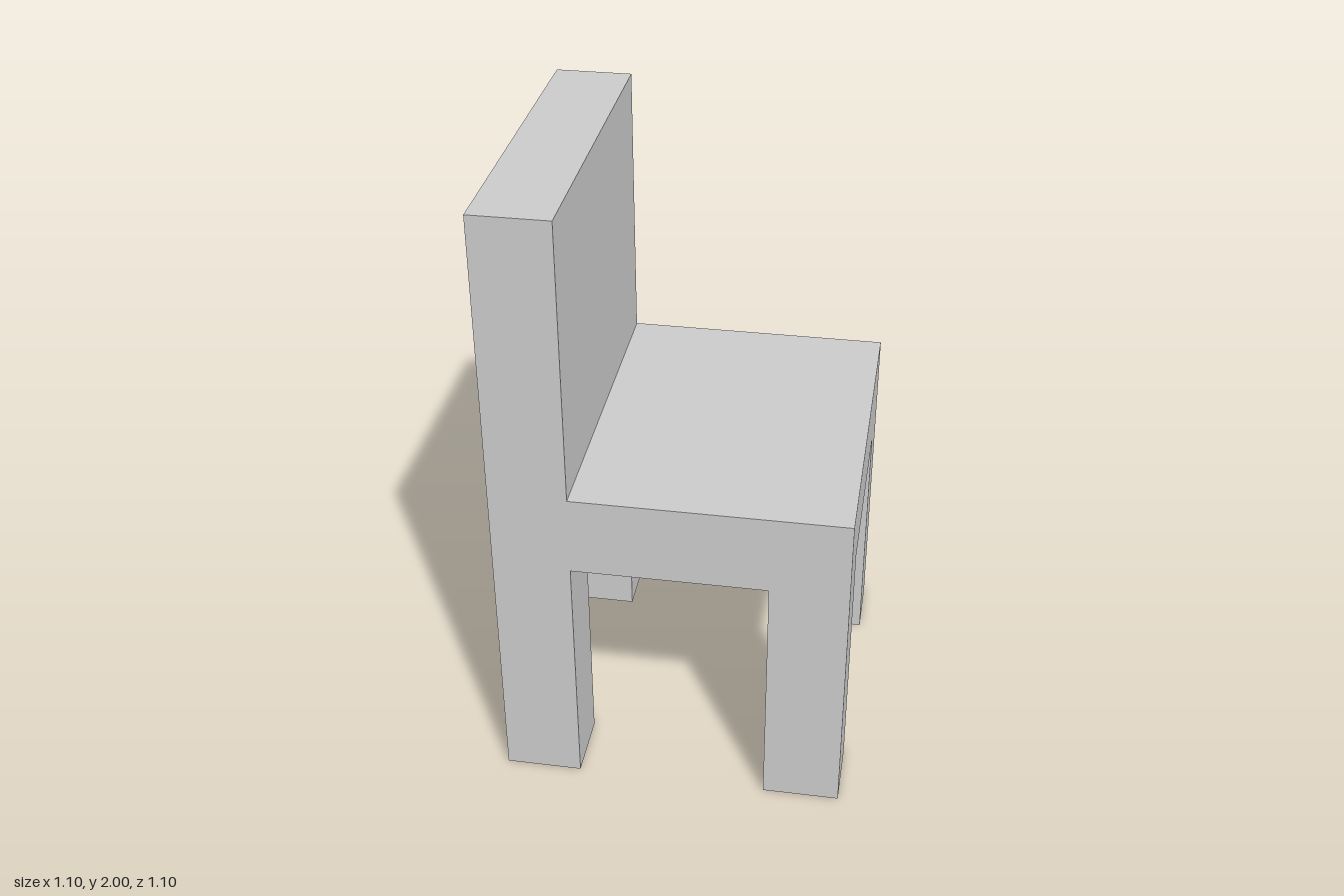
import * as THREE from 'three';

const HALF = 0.55;        // half width and half depth
const SEAT_BOTTOM = 0.825;
const SEAT_TOP = 1.085;
const TOP = 2;
const INNER_X = 0.305;    // inner faces of legs, and front of backrest
const LEFT_Z = 0.33;      // inner face of the +z legs
const RIGHT_Z = -0.345;   // inner face of the -z legs

export function createModel() {
  const chair = new THREE.Group();
  chair.name = 'chair';
  const material = new THREE.MeshStandardMaterial({ color: 0xcccccc, flatShading: true });

  // Box spanning the given ranges on each axis
  function block(name, [x0, x1], [y0, y1], [z0, z1]) {
    const mesh = new THREE.Mesh(new THREE.BoxGeometry(x1 - x0, y1 - y0, z1 - z0), material);
    mesh.position.set((x0 + x1) / 2, (y0 + y1) / 2, (z0 + z1) / 2);
    mesh.name = name;
    chair.add(mesh);
  }

  // Seat slab and the thick backrest standing on its -x edge
  block('seat', [-HALF, HALF], [SEAT_BOTTOM, SEAT_TOP], [-HALF, HALF]);
  block('backrest', [-HALF, -INNER_X], [SEAT_TOP, TOP], [-HALF, HALF]);

  // Four square-cut legs, flush with the seat corners
  const xSpans = { rear: [-HALF, -INNER_X], front: [INNER_X, HALF] };
  const zSpans = { Near: [LEFT_Z, HALF], Far: [-HALF, RIGHT_Z] };
  for (const [end, xs] of Object.entries(xSpans)) {
    for (const [side, zs] of Object.entries(zSpans)) {
      block(`${end}${side}Leg`, xs, [0, SEAT_BOTTOM], zs);
    }
  }
  return chair;
}
